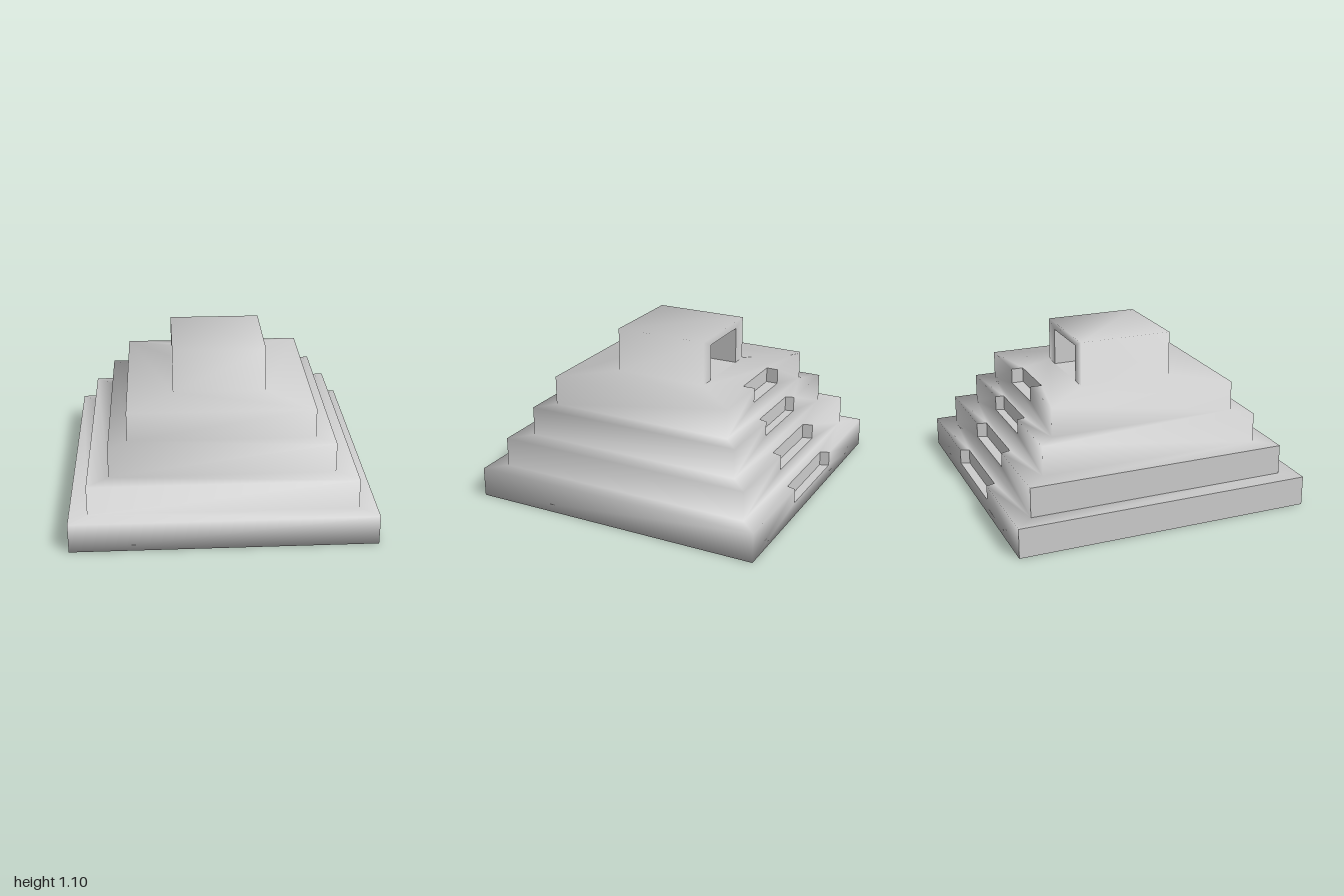
import * as THREE from 'three';

const material = new THREE.MeshStandardMaterial({ color: 0xcccccc });

// Appends a flat polygon, with an optional hole, facing along the direction `out`
function addFace(points, out, contour, hole = []) {
  const all = [...contour, ...hole].map((p) => new THREE.Vector3(...p));
  const drop = out.findIndex((v) => v !== 0);
  const flatten = (p) => new THREE.Vector2(...p.filter((_, axis) => axis !== drop));
  const triangles = THREE.ShapeUtils.triangulateShape(contour.map(flatten), hole.length ? [hole.map(flatten)] : []);
  const facing = new THREE.Vector3(...out);
  triangles.forEach(([i, j, k]) => {
    const [a, b, c] = [all[i], all[j], all[k]];
    const normal = b.clone().sub(a).cross(c.clone().sub(a));
    points.push(...(normal.dot(facing) < 0 ? [a, c, b] : [a, b, c]));
  });
}

function addMesh(parent, name, points) {
  const geometry = new THREE.BufferGeometry().setFromPoints(points);
  geometry.computeVertexNormals();
  const mesh = new THREE.Mesh(geometry, material);
  mesh.name = name;
  parent.add(mesh);
  return mesh;
}

// Blends normals by area wherever corners meet, across all the given meshes
function blendNormals(meshes) {
  const sums = new Map();
  const key = (p) => p.toArray().map((v) => Math.round(v * 1000)).join();
  const visit = (mesh, action) => {
    const { position, normal } = mesh.geometry.attributes;
    for (let i = 0; i < position.count; i += 3) {
      const corners = [0, 1, 2].map((j) => new THREE.Vector3().fromBufferAttribute(position, i + j));
      corners.forEach((corner, j) => action(key(corner), corners, normal, i + j));
    }
  };
  meshes.forEach((mesh) => visit(mesh, (id, [a, b, c]) => {
    const area = b.clone().sub(a).cross(c.clone().sub(a));
    sums.set(id, (sums.get(id) ?? new THREE.Vector3()).add(area));
  }));
  meshes.forEach((mesh) => visit(mesh, (id, corners, normal, index) => {
    const n = sums.get(id).clone().normalize();
    normal.setXYZ(index, n.x, n.y, n.z);
  }));
}

// Corners of a level rectangle: back left, back right, front right, front left as seen from above
const rectangle = (hx, hz, y) => [[-hx, y, -hz], [hx, y, -hz], [hx, y, hz], [-hx, y, hz]];

// Front and side walls between two heights
function addWall(points, side, hx, hz, y0, y1) {
  const [a, b, c, d] = rectangle(hx, hz, y0);
  const [e, f, g, h] = rectangle(hx, hz, y1);
  const walls = {
    right: [[1, 0, 0], [b, c, g, f]],
    front: [[0, 0, 1], [c, d, h, g]],
    left: [[-1, 0, 0], [d, a, e, h]],
  };
  addFace(points, ...walls[side]);
}

export function createModel() {
  const model = new THREE.Group();
  model.name = 'stepPyramid';
  const blended = [];

  const tierHeight = 0.2;
  const tiers = [
    { hx: 1, hz: 1, outer: 0.325, inner: 0.305, depth: 0.06 },
    { hx: 0.88, hz: 0.88, outer: 0.287, inner: 0.267, depth: 0.065 },
    { hx: 0.74, hz: 0.75, outer: 0.243, inner: 0.225, depth: 0.055 },
    { hx: 0.617, hz: 0.64, outer: 0.197, inner: 0.197, depth: 0.08 },
  ];
  const temple = { hx: 0.31, hz: 0.32, door: 0.2, doorHeight: 0.25, height: 0.3, roomDepth: 0.5 };

  // Terraces, each with a half-height stair recess in the back wall and ledge
  tiers.forEach(({ hx, hz, outer, inner, depth }, i) => {
    const y0 = i * tierHeight, y1 = y0 + tierHeight, mid = y0 + tierHeight / 2;
    const terrace = new THREE.Group();
    terrace.name = `terrace${i + 1}`;
    model.add(terrace);
    const next = tiers[i + 1] ?? temple;
    const rim = (y) => [[-outer, y, -hz], [-inner, y, depth - hz], [inner, y, depth - hz], [outer, y, -hz]];
    const low = rim(mid), high = rim(y1);
    const [backLeft, backRight, ...frontCorners] = rectangle(hx, hz, y1);

    const body = [];
    if (i === 0) addFace(body, [0, -1, 0], rectangle(hx, hz, y0));
    addWall(body, 'right', hx, hz, y0, y1);
    addWall(body, 'front', hx, hz, y0, y1);
    addFace(body, [0, 0, -1], [
      [-hx, y0, -hz], [hx, y0, -hz], backRight, high[3], low[3], low[0], high[0], backLeft,
    ]);
    addFace(body, [0, 1, 0], [backLeft, ...high, backRight, ...frontCorners], rectangle(next.hx, next.hz, y1));

    // The two lowest terraces have a crisp wall on one side
    const side = i < 2 ? [] : body;
    addWall(side, 'left', hx, hz, y0, y1);
    if (i < 2) addMesh(terrace, 'sideWall', side);
    blended.push(addMesh(terrace, 'terraceBody', body));

    const recess = [];
    addFace(recess, [0, 1, 0], low);
    addFace(recess, [1, 0, 0], [low[0], low[1], high[1], high[0]]);
    addFace(recess, [0, 0, -1], [low[1], low[2], high[2], high[1]]);
    addFace(recess, [-1, 0, 0], [low[2], low[3], high[3], high[2]]);
    addMesh(terrace, 'stairRecess', recess);
  });

  // Temple shell on the summit, with a doorway in the back wall
  const { hx, hz, door, doorHeight, height, roomDepth } = temple;
  const floor = tiers.length * tierHeight, roof = floor + height, lintel = floor + doorHeight;
  const shell = [];
  ['left', 'front', 'right'].forEach((side) => addWall(shell, side, hx, hz, floor, roof));
  addFace(shell, [0, 0, -1], [
    [-hx, floor, -hz], [-door, floor, -hz], [-door, lintel, -hz], [door, lintel, -hz],
    [door, floor, -hz], [hx, floor, -hz], [hx, roof, -hz], [-hx, roof, -hz],
  ]);
  addFace(shell, [0, 1, 0], rectangle(hx, hz, roof));
  blended.push(addMesh(model, 'temple', shell));

  // Room behind the doorway
  const room = [];
  const end = roomDepth - hz;
  const roomPlan = (y) => [[-door, y, -hz], [door, y, -hz], [door, y, end], [-door, y, end]];
  const [a, b, c, d] = roomPlan(floor);
  const [e, f, g, h] = roomPlan(lintel);
  addFace(room, [0, 1, 0], [a, b, c, d]);
  addFace(room, [0, -1, 0], [e, f, g, h]);
  addFace(room, [-1, 0, 0], [b, c, g, f]);
  addFace(room, [0, 0, -1], [c, d, h, g]);
  addFace(room, [1, 0, 0], [d, a, e, h]);
  addMesh(model, 'templeRoom', room);

  blendNormals(blended);
  return model;
}
